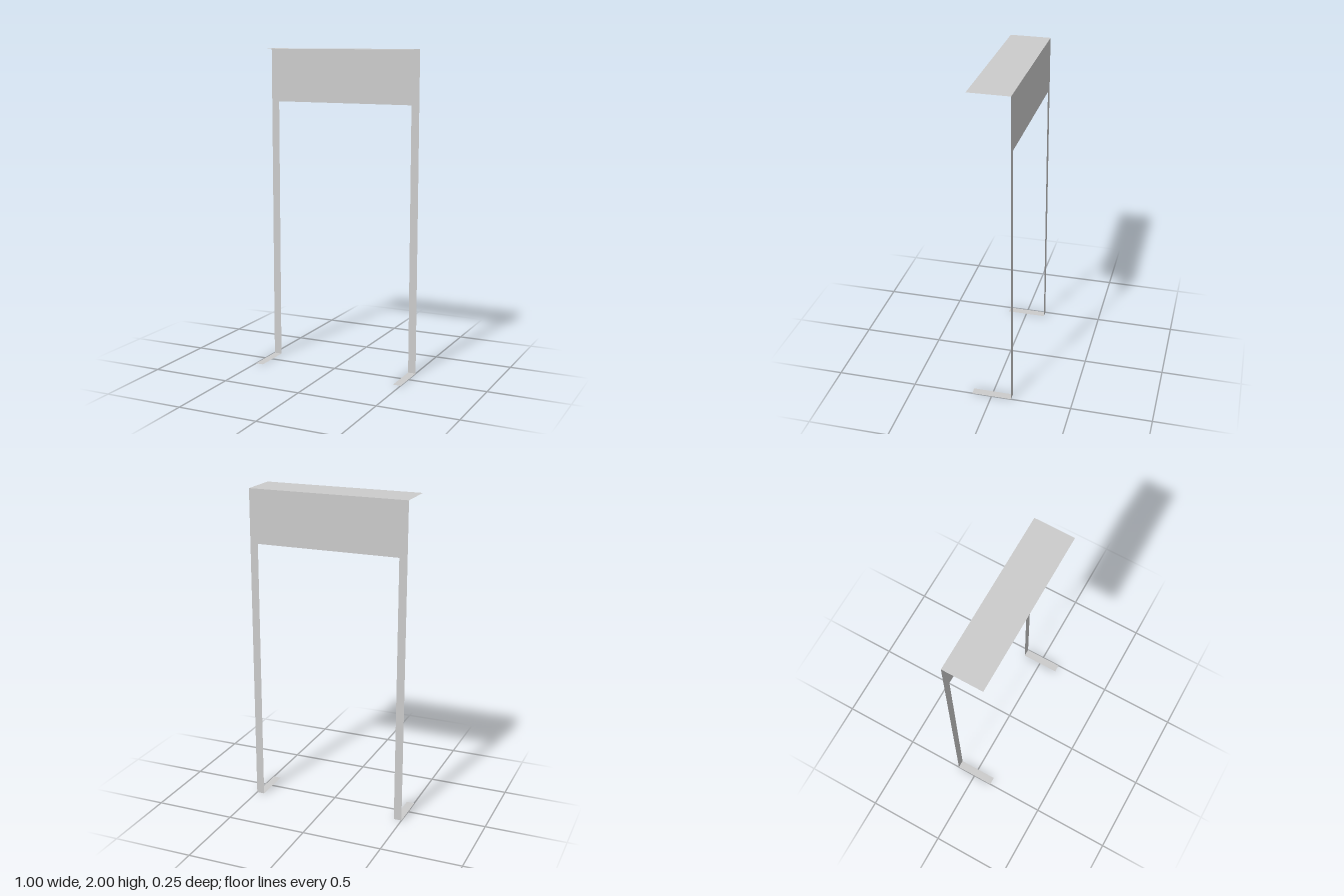
import * as THREE from 'three';

const W = 0.5, H = 2, D = 0.25, LEG = 0.05, PANEL_BOTTOM = 1.667;

export function createModel() {
  const group = new THREE.Group();
  const material = new THREE.MeshStandardMaterial({
    color: 0xcccccc, flatShading: true, side: THREE.DoubleSide,
  });
  const add = (name, geometry) => {
    const mesh = new THREE.Mesh(geometry, material);
    mesh.name = name;
    group.add(mesh);
    return mesh;
  };

  // Horizontal sheet reaching from the back plane to the front
  const sheet = (name, width, x, y) =>
    add(name, new THREE.PlaneGeometry(width, D).rotateX(-Math.PI / 2)).position.set(x, y, 0);

  // Upright sheet: wide upper panel and two narrow legs in one outline
  const inner = W - LEG;
  const outline = new THREE.Shape([
    [-W, 0], [-inner, 0], [-inner, PANEL_BOTTOM], [inner, PANEL_BOTTOM],
    [inner, 0], [W, 0], [W, H], [-W, H],
  ].map(([x, y]) => new THREE.Vector2(x, y)));
  add('backFrame', new THREE.ShapeGeometry(outline)).position.z = -D / 2;

  // Top shelf and the two feet
  sheet('topShelf', 2 * W, 0, H);
  for (const [name, side] of [['leftFoot', 1], ['rightFoot', -1]]) {
    sheet(name, LEG, side * (W - LEG / 2), 0);
  }

  return group;
}
